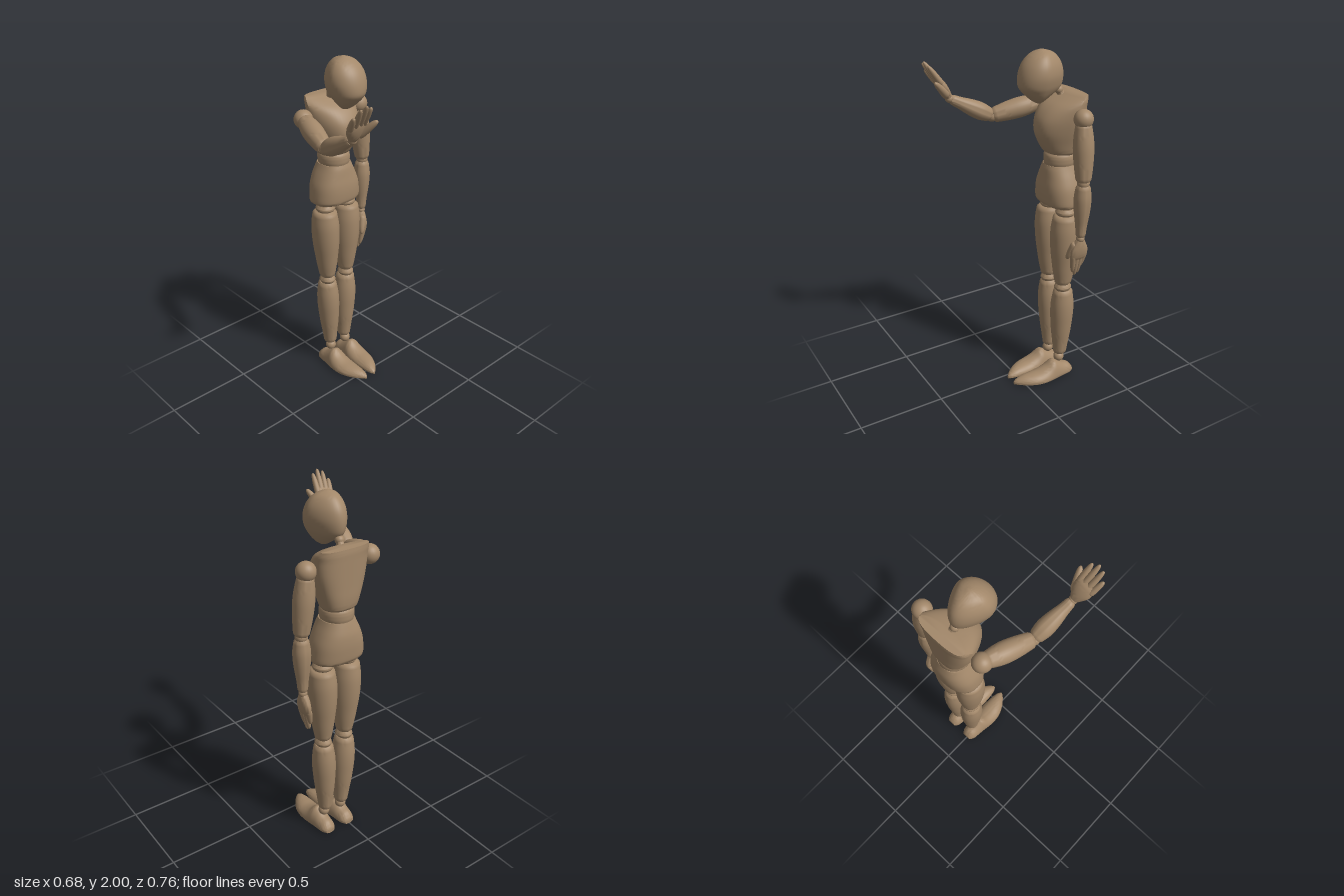
import * as THREE from 'three';
import { toCreasedNormals } from 'three/addons/utils/BufferGeometryUtils.js';

const V = (x, y, z) => new THREE.Vector3(x, y, z);
const wood = new THREE.MeshStandardMaterial({ color: 0xa3886a });
wood.name = 'wood';

// Closed skin over rings [y, centreX, halfWidth, centreZ, frontDepth, backDepth].
// power squares off the rings; taper narrows the front (+) or the back (-).
function loft(rings, { power = 1, taper = 0, n = 40, steps = 4 } = {}) {
  const curve = (k) => new THREE.CatmullRomCurve3(
    rings.map((r) => V(r[k], r[k + 1], r[k + 2])), false, 'catmullrom');
  const lo = curve(0), hi = curve(3);
  const rows = (rings.length - 1) * steps;
  const pos = [], idx = [];
  const bend = (v) => Math.sign(v) * Math.abs(v) ** power;
  for (let i = 0; i <= rows; i++) {
    const a = lo.getPoint(i / rows), b = hi.getPoint(i / rows);
    for (let j = 0; j < n; j++) {
      const t = (j / n) * Math.PI * 2, s = bend(Math.sin(t));
      pos.push(a.y + a.z * bend(Math.cos(t)) * (1 - Math.max(0, taper * s)), a.x,
        b.x + s * (s > 0 ? b.y : b.z));
    }
  }
  for (let i = 0; i < rows; i++) {
    for (let j = 0; j < n; j++) {
      const p = i * n + j, q = i * n + (j + 1) % n;
      idx.push(p, p + n, q, q, p + n, q + n);
    }
  }
  // end caps
  const first = rings[0], last = rings[rings.length - 1], c = pos.length / 3;
  pos.push(first[1], first[0], first[3], last[1], last[0], last[3]);
  for (let j = 0; j < n; j++) {
    const k = (j + 1) % n;
    idx.push(c, j, k, c + 1, rows * n + k, rows * n + j);
  }
  const g = new THREE.BufferGeometry();
  g.setAttribute('position', new THREE.Float32BufferAttribute(pos, 3));
  g.setIndex(idx);
  return toCreasedNormals(g, 0.75);
}

function mesh(name, geometry, parent) {
  const m = new THREE.Mesh(geometry, wood);
  m.name = name;
  parent.add(m);
  return m;
}

function ball(name, p, r, parent) {
  const m = mesh(name, new THREE.SphereGeometry(r, 24, 16), parent);
  m.position.copy(p);
  return m;
}

// Turned wooden piece from a to b with evenly spaced radii and chamfered ends
function limb(name, a, b, radii, parent, depth = 1) {
  const len = a.distanceTo(b), last = radii.length - 1;
  const side = new THREE.SplineCurve(
    radii.map((r, i) => new THREE.Vector2(r, 0.012 + (len - 0.024) * i / last))).getPoints(20);
  const profile = [new THREE.Vector2(0, 0), new THREE.Vector2(radii[0] * 0.8, 0), ...side,
    new THREE.Vector2(radii[last] * 0.8, len), new THREE.Vector2(0, len)];
  const g = new THREE.LatheGeometry(profile, 32).scale(1, 1, depth);
  const m = mesh(name, toCreasedNormals(g, 0.75), parent);
  m.position.copy(a);
  m.quaternion.setFromUnitVectors(V(0, 1, 0), b.clone().sub(a).normalize());
  return m;
}

// Tapered finger with a round tip
function finger(name, a, b, r, parent) {
  const len = a.distanceTo(b);
  const pts = [[0, 0], [r, 0.01], [r * 1.05, len * 0.4], [r * 0.85, len * 0.75],
    [r * 0.5, len * 0.95], [0, len]].map((p) => new THREE.Vector2(...p));
  const m = mesh(name, new THREE.LatheGeometry(new THREE.SplineCurve(pts).getPoints(18)
    .map((p) => new THREE.Vector2(Math.max(0, p.x), p.y)), 14), parent);
  m.position.copy(a);
  m.quaternion.setFromUnitVectors(V(0, 1, 0), b.clone().sub(a).normalize());
}

// Hand: fingers along local +y, palm towards local +z, thumb on side * x
function hand(name, wrist, dir, across, side, spread, thumbTip, parent) {
  const g = new THREE.Group();
  g.name = name;
  const y = dir.clone().normalize();
  const x = across.clone().addScaledVector(y, -across.dot(y)).normalize();
  g.quaternion.setFromRotationMatrix(
    new THREE.Matrix4().makeBasis(x, y, x.clone().cross(y)));
  g.position.copy(wrist);
  parent.add(g);
  mesh('palm', loft([
    [0, 0, 0.02, 0, 0.018, 0.018], [0.03, 0, 0.036, 0, 0.027, 0.024],
    [0.07, 0, 0.053, 0, 0.027, 0.026], [0.11, 0, 0.054, 0, 0.02, 0.021],
    [0.135, 0, 0.046, 0, 0.009, 0.01]], { n: 28 }), g);
  [[-0.04, 0.195], [-0.014, 0.237], [0.013, 0.247], [0.038, 0.222]].forEach(([fx, tip], i) =>
    finger('finger' + (i + 1), V(side * fx, 0.09, 0),
      V(side * fx * spread, tip, 0.014), 0.0155, g));
  finger('thumb', V(side * 0.025, 0.025, 0.008),
    V(side * thumbTip.x, thumbTip.y, thumbTip.z), 0.019, g);
}

function arm(name, shoulder, elbow, wrist, parent) {
  const g = new THREE.Group();
  g.name = name;
  parent.add(g);
  ball('shoulderBall', shoulder, 0.053, g);
  const top = shoulder.clone().lerp(elbow, 0.06);
  limb('upperArm', top, shoulder.clone().lerp(elbow, 0.975),
    [0.044, 0.053, 0.057, 0.055, 0.05, 0.043], g);
  ball('elbowBall', elbow, 0.034, g);
  limb('forearm', elbow.clone().lerp(wrist, 0.035), elbow.clone().lerp(wrist, 0.96),
    [0.04, 0.048, 0.047, 0.041, 0.033, 0.028], g);
  ball('wristBall', wrist, 0.024, g);
  return g;
}

function leg(name, side, parent) {
  const g = new THREE.Group();
  g.name = name;
  parent.add(g);
  const at = (x, y, z) => V(0.0715 + side * x, y, z);
  limb('hipJoint', at(0.078, 1.075, -0.25), at(0.078, 1.125, -0.25), [0.052, 0.058, 0.052], g);
  ball('hipBall', at(0.078, 1.12, -0.25), 0.045, g);
  limb('thigh', at(0.073, 0.64, -0.25), at(0.084, 1.085, -0.25),
    [0.046, 0.058, 0.067, 0.075, 0.079, 0.078, 0.068], g, 1.1);
  limb('kneeJoint', at(0.073, 0.588, -0.25), at(0.073, 0.645, -0.25), [0.04, 0.047, 0.04], g, 1.1);
  limb('calf', at(0.057, 0.145, -0.253), at(0.073, 0.6, -0.253),
    [0.039, 0.047, 0.056, 0.062, 0.066, 0.064, 0.054], g, 1.06);
  ball('ankleBall', at(0.06, 0.118, -0.245), 0.032, g);
  // foot rings run from toe to heel
  const foot = [
    [-0.06, 0.035, 0.006, 0.008], [-0.04, 0.04, 0.025, 0.022], [0, 0.052, 0.045, 0.037],
    [0.05, 0.063, 0.06, 0.045], [0.1, 0.068, 0.066, 0.052], [0.15, 0.069, 0.065, 0.072],
    [0.19, 0.069, 0.06, 0.102], [0.22, 0.069, 0.055, 0.09], [0.26, 0.069, 0.051, 0.066],
    [0.3, 0.069, 0.045, 0.05], [0.325, 0.069, 0.028, 0.022],
  ].map(([s, x, w, h]) => [s, 0.0715 + side * x, w, 0.012, h, 0.012]);
  const sole = loft(foot).rotateX(-Math.PI / 2);
  mesh('foot', sole, g);
}

export function createModel() {
  const model = new THREE.Group();
  model.name = 'artistMannequin';

  // head and neck
  mesh('head', loft([
    [1.72, 0.047, 0.02, -0.125, 0.015, 0.015], [1.735, 0.047, 0.044, -0.12, 0.035, 0.045],
    [1.76, 0.047, 0.067, -0.115, 0.06, 0.09], [1.79, 0.047, 0.085, -0.115, 0.09, 0.135],
    [1.82, 0.047, 0.098, -0.115, 0.106, 0.152], [1.87, 0.047, 0.108, -0.12, 0.107, 0.15],
    [1.92, 0.047, 0.101, -0.125, 0.094, 0.133], [1.96, 0.047, 0.08, -0.13, 0.069, 0.102],
    [1.985, 0.047, 0.052, -0.138, 0.043, 0.062], [2, 0.047, 0.012, -0.14, 0.01, 0.014],
  ], { taper: -0.25 }), model);
  ball('neckBall', V(0.05, 1.775, -0.25), 0.024, model);
  limb('neck', V(0.055, 1.73, -0.275), V(0.05, 1.785, -0.245), [0.026, 0.02, 0.02], model);

  // torso
  mesh('chest', loft([
    [1.435, 0.07, 0.092, -0.26, 0.082, 0.085], [1.45, 0.07, 0.101, -0.26, 0.103, 0.095],
    [1.5, 0.069, 0.116, -0.265, 0.138, 0.095], [1.56, 0.068, 0.134, -0.265, 0.16, 0.095],
    [1.62, 0.068, 0.148, -0.265, 0.156, 0.095], [1.67, 0.068, 0.155, -0.265, 0.13, 0.095],
    [1.71, 0.068, 0.157, -0.27, 0.095, 0.09], [1.74, 0.068, 0.155, -0.29, 0.062, 0.07],
    [1.765, 0.068, 0.143, -0.315, 0.032, 0.042],
  ], { power: 0.75, taper: 0.3 }), model);
  mesh('waist', loft([
    [1.35, 0.07, 0.075, -0.26, 0.08, 0.08], [1.37, 0.07, 0.087, -0.26, 0.093, 0.092],
    [1.4, 0.07, 0.091, -0.26, 0.096, 0.095], [1.425, 0.07, 0.088, -0.26, 0.093, 0.092],
    [1.445, 0.07, 0.075, -0.26, 0.08, 0.08],
  ]), model);
  mesh('pelvis', loft([
    [1.135, 0.07, 0.14, -0.26, 0.1, 0.095], [1.15, 0.07, 0.153, -0.26, 0.115, 0.108],
    [1.2, 0.07, 0.15, -0.26, 0.12, 0.114], [1.25, 0.07, 0.141, -0.26, 0.118, 0.116],
    [1.3, 0.07, 0.122, -0.26, 0.11, 0.112], [1.345, 0.07, 0.101, -0.26, 0.102, 0.1],
    [1.37, 0.07, 0.09, -0.26, 0.093, 0.092],
  ], { power: 0.85 }), model);

  // legs
  leg('leftLeg', 1, model);
  leg('rightLeg', -1, model);

  // left arm hangs down
  const leftWrist = V(0.285, 0.985, -0.26);
  const leftArm = arm('leftArm', V(0.264, 1.665, -0.265), V(0.292, 1.318, -0.26), leftWrist, model);
  hand('leftHand', leftWrist, V(-0.02, -0.23, 0), V(0, 0, -1), -1, 0.6,
    V(0.056, 0.135, 0.034), leftArm);

  // right arm raised in greeting
  const rightWrist = V(-0.25, 1.725, 0.25);
  const rightArm = arm('rightArm', V(-0.135, 1.665, -0.265), V(-0.218, 1.6, 0.01), rightWrist, model);
  hand('rightHand', rightWrist, V(-0.04, 0.21, 0.115), V(1, 0, 0), 1, 1.25,
    V(0.086, 0.14, 0.042), rightArm);

  return model;
}
